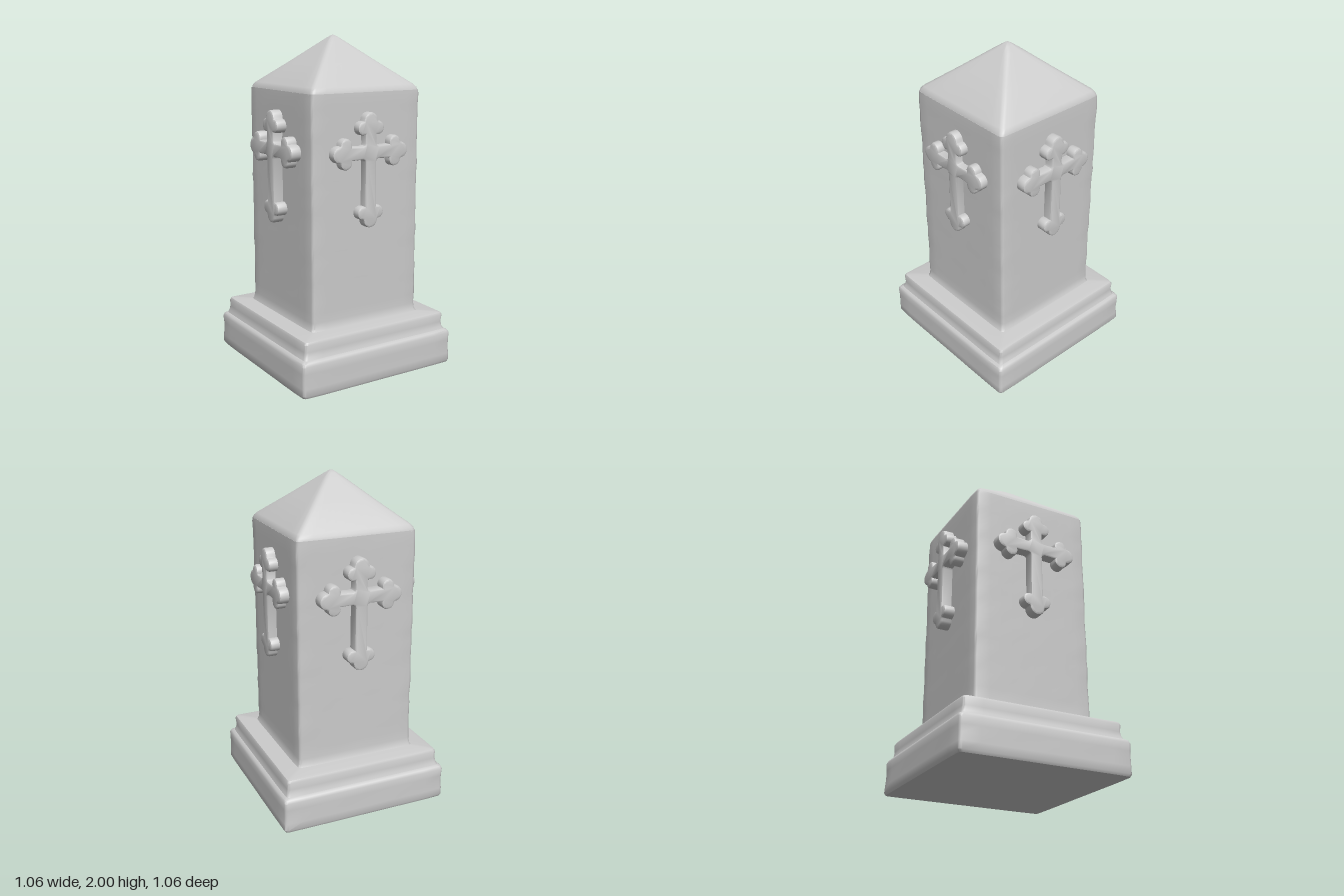
import * as THREE from 'three';
import { toCreasedNormals } from 'three/addons/utils/BufferGeometryUtils.js';

const stone = new THREE.MeshStandardMaterial({ color: 0xcccccc });

// Smooth repeatable waviness in the range 0..1, for weathered edges
function wear(x, y, z) {
  const s = Math.sin(x * 23 + y * 17) + Math.sin(z * 29 - y * 31 + 1.3) + Math.sin((x - z) * 13 + y * 47 + 2.1);
  return (s + 3) / 6;
}

// Outline of a square with rounded corners and subdivided sides
function squareRing(half, radius) {
  const points = [], sideSteps = 10, cornerSteps = 3, inner = half - radius;
  for (let k = 0; k < 4; k++) {
    const turn = k * Math.PI / 2, c = Math.cos(turn), s = Math.sin(turn);
    const add = (x, z, edge) => points.push({ x: x * c - z * s, z: x * s + z * c, edge });
    for (let i = 1; i < sideSteps; i++) add(half, inner * (2 * i / sideSteps - 1), 0.25);
    for (let i = 0; i <= cornerSteps; i++) {
      const a = i / cornerSteps * Math.PI / 2;
      add(inner + radius * Math.cos(a), inner + radius * Math.sin(a), 1);
    }
  }
  return points;
}

// Stacks square rings along a profile of [half width, height], with closed ends
function squareLoft(name, profile, radius, chip, steps = 1) {
  const rows = [];
  profile.forEach(([h, y], i) => {
    if (i === 0) return rows.push([h, y]);
    const [h0, y0] = profile[i - 1];
    const n = y - y0 > 0.15 ? steps : 1;
    for (let j = 1; j <= n; j++) rows.push([h0 + (h - h0) * j / n, y0 + (y - y0) * j / n]);
  });
  const positions = [], index = [];
  let count = 0;
  rows.forEach(([half, y]) => {
    const ring = squareRing(half, Math.min(radius, half * 0.5));
    count = ring.length;
    for (const p of ring) {
      const k = 1 - chip * p.edge * wear(p.x, y, p.z);
      positions.push(p.x * k, y, p.z * k);
    }
  });
  for (let r = 0; r < rows.length - 1; r++) {
    for (let i = 0; i < count; i++) {
      const a = r * count + i, b = r * count + (i + 1) % count;
      index.push(a, a + count, b, b, a + count, b + count);
    }
  }
  const last = (rows.length - 1) * count, bottom = rows.length * count;
  positions.push(0, rows[0][1], 0, 0, rows[rows.length - 1][1], 0);
  for (let i = 0; i < count; i++) {
    const j = (i + 1) % count;
    index.push(bottom, i, j, bottom + 1, last + j, last + i);
  }
  const geometry = new THREE.BufferGeometry();
  geometry.setAttribute('position', new THREE.Float32BufferAttribute(positions, 3));
  geometry.setIndex(index);
  const mesh = new THREE.Mesh(toCreasedNormals(geometry, 0.7), stone);
  mesh.name = name;
  return mesh;
}

// Cross with three round lobes at the end of each arm
function crossGeometry() {
  const halfWidth = 0.038, points = [];
  [0.257, 0.23, 0.257, 0.44].forEach((length, k) => {
    const origin = new THREE.Vector2();
    const add = (u, v) => points.push(new THREE.Vector2(u, v).rotateAround(origin, k * Math.PI / 2));
    const lobe = (u, v, r, from, to) => {
      for (let i = 0; i <= 10; i++) {
        const a = THREE.MathUtils.degToRad(from + (to - from) * i / 10);
        add(u + r * Math.cos(a), v + r * Math.sin(a));
      }
    };
    lobe(length - 0.09, -0.05, 0.04, -194, 0);
    lobe(length - 0.048, 0, 0.048, -88, 88);
    lobe(length - 0.09, 0.05, 0.04, 0, 194);
    // Small fillet where two arms meet
    add(halfWidth + 0.016, halfWidth);
    add(halfWidth + 0.005, halfWidth + 0.005);
    add(halfWidth, halfWidth + 0.016);
  });
  const geometry = new THREE.ExtrudeGeometry(new THREE.Shape(points), {
    depth: 0.06, bevelEnabled: true, bevelSize: 0.011, bevelOffset: -0.011,
    bevelThickness: 0.014, bevelSegments: 2,
  });
  return toCreasedNormals(geometry, 0.6);
}

export function createModel() {
  const group = new THREE.Group();
  group.name = 'gravePillar';

  // Stepped base
  group.add(squareLoft('plinth', [
    [0.522, 0], [0.53, 0.015], [0.528, 0.19], [0.521, 0.207], [0.505, 0.216],
  ], 0.02, 0.012, 4));
  group.add(squareLoft('plinthStep', [
    [0.507, 0.21], [0.498, 0.232], [0.494, 0.26], [0.495, 0.302], [0.488, 0.316], [0.47, 0.321],
  ], 0.02, 0.012));

  // Tall shaft, flaring slightly where it meets the base
  group.add(squareLoft('shaft', [
    [0.385, 0.315], [0.375, 0.335], [0.371, 0.37], [0.372, 1.66], [0.371, 1.685],
  ], 0.02, 0.014, 22));

  // Pyramid roof with softened eaves and tip
  group.add(squareLoft('roof', [
    [0.371, 1.68], [0.366, 1.7], [0.352, 1.718], [0.2, 1.843], [0.06, 1.962], [0.03, 1.985], [0.01, 1.998], [0.003, 2],
  ], 0.025, 0.012, 4));

  // One raised cross on each face
  const geometry = crossGeometry();
  const faces = [['front', 0.42], ['left', 0.428], ['back', 0.438], ['right', 0.435]];
  faces.forEach(([side, reach], k) => {
    const pivot = new THREE.Group();
    pivot.name = side + 'Cross';
    pivot.rotation.y = k * Math.PI / 2;
    const cross = new THREE.Mesh(geometry, stone);
    cross.name = side + 'CrossRelief';
    cross.position.set(-0.005, 1.345, reach - 0.074);
    pivot.add(cross);
    group.add(pivot);
  });
  return group;
}
